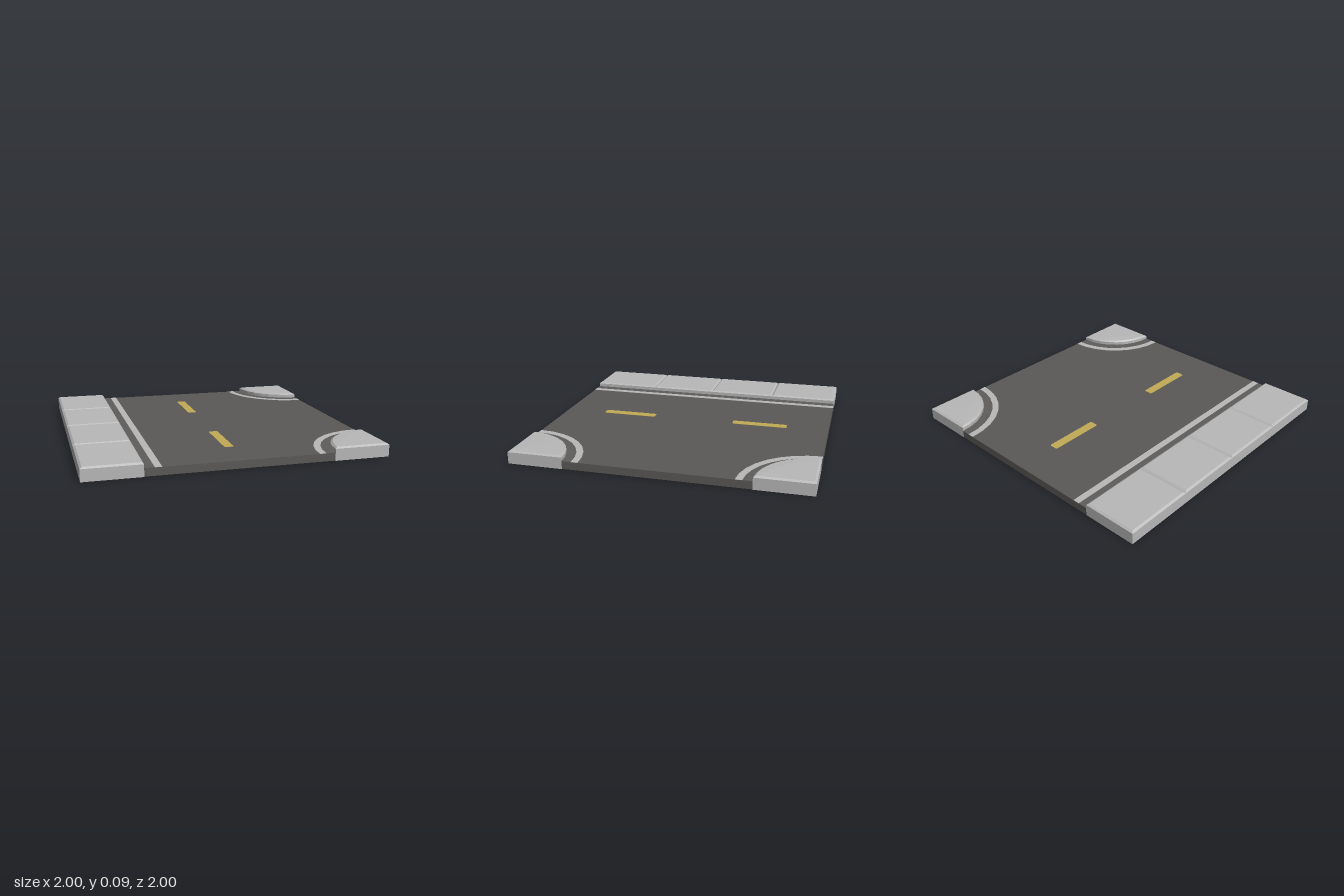
import * as THREE from 'three';

const EDGE = 0.62;      // where the pavement meets the road
const R = 1 - EDGE;     // pavement width and corner radius
const ROAD_Y = 0.055;
const TOP_Y = 0.09;
const BEVEL = 0.014;
const SEG = 8;

const paint = (name, color) => {
  const m = new THREE.MeshStandardMaterial({ color });
  m.name = name;
  return m;
};

// Quarter-circle points around a corner at (cx, cz), heading towards (sx, sz)
function arc(cx, cz, sx, sz, r, reverse = false) {
  const pts = [];
  for (let i = 0; i <= SEG; i++) {
    const a = (i / SEG) * Math.PI / 2;
    pts.push(new THREE.Vector2(cx + sx * r * Math.cos(a), cz + sz * r * Math.sin(a)));
  }
  return reverse ? pts.reverse() : pts;
}

// Flat plate from an outline in x and z
function plate(points, y, height) {
  const geo = new THREE.ExtrudeGeometry(new THREE.Shape(points), { depth: height, bevelEnabled: false });
  geo.rotateX(Math.PI / 2);
  geo.translate(0, y + height, 0);
  return geo;
}

const rect = (x0, x1, z0, z1) => [[x1, z1], [x0, z1], [x0, z0], [x1, z0]].map(p => new THREE.Vector2(...p));

// Upright block with a chamfered top edge; outline(inset) gives matching loops
function bevelledBlock(outline, crown = 0) {
  const rings = [[0, 0], [0, TOP_Y - 0.01], [BEVEL, TOP_Y]].map(([inset, y]) =>
    outline(inset).map(p => new THREE.Vector3(p.x, y, p.y)));
  const n = rings[0].length;
  const pos = [];
  const tri = (...vs) => vs.forEach(v => pos.push(v.x, v.y, v.z));
  const centre = ring => ring.reduce((s, v) => s.add(v), new THREE.Vector3()).divideScalar(n);
  const low = centre(rings[0]);
  const high = centre(rings[2]);
  high.y += crown;
  for (let j = 0; j < n; j++) {
    const k = (j + 1) % n;
    for (let i = 0; i < 2; i++) {
      const a = rings[i], b = rings[i + 1];
      tri(a[k], a[j], b[j]);
      tri(a[k], b[j], b[k]);
    }
    tri(high, rings[2][k], rings[2][j]);
    tri(low, rings[0][j], rings[0][k]);
  }
  const geo = new THREE.BufferGeometry();
  geo.setAttribute('position', new THREE.Float32BufferAttribute(pos, 3));
  geo.computeVertexNormals();
  return geo;
}

export function createModel() {
  const model = new THREE.Group();
  model.name = 'roadTile';
  const asphalt = paint('asphalt', 0x5b5957);
  const gutterGrey = paint('gutterGrey', 0x5e5d5c);
  const concrete = paint('concrete', 0xb8b8b8);
  const yellow = paint('yellow', 0xc2ab57);

  const add = (parent, name, geo, mat) => {
    const mesh = new THREE.Mesh(geo, mat);
    mesh.name = name;
    parent.add(mesh);
    return mesh;
  };

  // Road bed with rounded notches for the two corners
  add(model, 'roadBed', plate([
    new THREE.Vector2(-EDGE, -1),
    ...arc(1, -1, -1, 1, R),
    ...arc(1, 1, -1, -1, R, true),
    new THREE.Vector2(-EDGE, 1),
  ], 0.002, ROAD_Y - 0.002), asphalt);

  // Concrete strip on the underside of the open side
  const under = new THREE.PlaneGeometry(R, 2).rotateX(Math.PI / 2).translate((1 + EDGE) / 2, 0, 0);
  add(model, 'undersideStrip', under, concrete);

  // Straight pavement of four slabs
  const pavement = new THREE.Group();
  pavement.name = 'pavement';
  model.add(pavement);
  for (let i = 0; i < 4; i++) {
    const z = -1 + i * 0.5;
    add(pavement, 'pavingSlab',
      bevelledBlock(d => rect(-1 + d, -EDGE - d, z + d, z + 0.5 - d)), concrete);
  }

  // Gutter and edge line along the pavement
  add(model, 'gutter', plate(rect(-EDGE, -0.556, -1, 1), ROAD_Y, 0.001), gutterGrey);
  add(model, 'edgeLine', plate(rect(-0.556, -0.51, -1, 1), ROAD_Y, 0.002), concrete);

  // Rounded corners, each with its own gutter and edge line
  const cornerOutline = d => [
    new THREE.Vector2(-d, -d),
    ...arc(0, 0, -1, -1, R - d).map(p => new THREE.Vector2(Math.min(p.x, -d), Math.min(p.y, -d))),
  ];
  const band = (r0, r1) => [...arc(0, 0, -1, -1, r0), ...arc(0, 0, -1, -1, r1, true)];
  for (const side of [1, -1]) {
    const corner = new THREE.Group();
    corner.name = side > 0 ? 'frontCorner' : 'backCorner';
    corner.position.set(1, 0, side);
    corner.rotation.y = side > 0 ? 0 : Math.PI / 2;
    add(corner, 'cornerPaving', bevelledBlock(cornerOutline, 0.004), concrete);
    add(corner, 'cornerGutter', plate(band(R, 0.444), ROAD_Y, 0.001), gutterGrey);
    add(corner, 'cornerLine', plate(band(0.444, 0.49), ROAD_Y, 0.002), concrete);
    model.add(corner);
  }

  // Centre dashes with clipped corners
  const c = 0.008, w = 0.032, l = 0.2;
  const dash = [[-w + c, -l], [w - c, -l], [w, -l + c], [w, l - c], [w - c, l], [-w + c, l], [-w, l - c], [-w, -l + c]]
    .map(p => new THREE.Vector2(...p));
  for (const z of [-0.5, 0.5]) {
    add(model, 'centreDash', plate(dash, ROAD_Y, 0.002), yellow).position.z = z;
  }
  return model;
}
